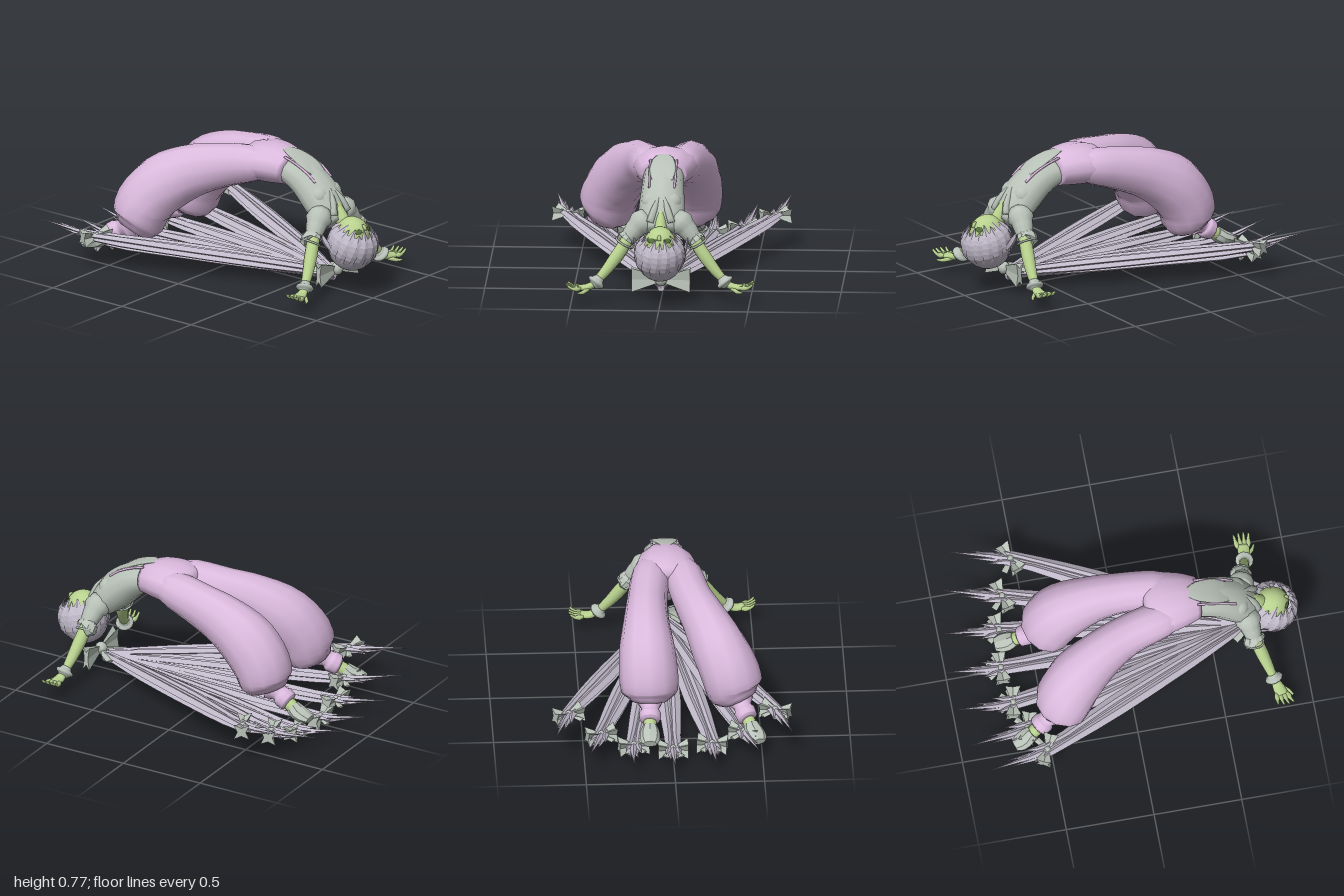
import * as THREE from 'three';

const mat = (name, color) => {
  const m = new THREE.MeshStandardMaterial({ color });
  m.name = name;
  return m;
};
const V = (x, y, z) => new THREE.Vector3(x, y, z);
const X = V(1, 0, 0), Z = V(0, 0, 1);

// Smooth body through elliptical sections [x, y, z, rSide, rUp]; "ref" is the side axis
function loft(sections, ref = X, sides = 12, steps = 4, flat = false) {
  const path = new THREE.CatmullRomCurve3(sections.map(s => V(s[0], s[1], s[2])));
  const size = new THREE.CatmullRomCurve3(sections.map(s => V(s[3], s[4] ?? s[3], 0)));
  const n = (sections.length - 1) * steps, pos = [], idx = [];
  const ring = (t, k) => {
    const c = path.getPoint(t), r = size.getPoint(t), d = path.getTangent(t);
    const side = ref.clone().addScaledVector(d, -ref.dot(d)).normalize();
    const up = d.clone().cross(side);
    for (let j = 0; j < sides; j++) {
      const a = j / sides * Math.PI * 2;
      const p = c.clone().addScaledVector(side, Math.cos(a) * Math.max(r.x, 0.001) * k)
        .addScaledVector(up, Math.sin(a) * Math.max(r.y, 0.001) * k);
      pos.push(p.x, p.y, p.z);
    }
  };
  ring(0, 0.01);
  for (let i = 0; i <= n; i++) ring(i / n, 1);
  ring(1, 0.01);
  for (let i = 0; i < n + 2; i++) for (let j = 0; j < sides; j++) {
    const a = i * sides + j, b = i * sides + (j + 1) % sides;
    idx.push(a, b, a + sides, b, b + sides, a + sides);
  }
  let g = new THREE.BufferGeometry();
  g.setAttribute('position', new THREE.Float32BufferAttribute(pos, 3));
  g.setIndex(idx);
  if (flat) g = g.toNonIndexed();
  g.computeVertexNormals();
  return g;
}

// Flared bow wing with a pleated, star-shaped section
function pleatedWing(w, h) {
  const g = new THREE.CylinderGeometry(h, h * .2, w, 8, 1).toNonIndexed();
  const p = g.attributes.position;
  for (let i = 0; i < p.count; i++) {
    const x = p.getX(i), z = p.getZ(i);
    const fold = Math.round(Math.atan2(z, x) / (Math.PI / 4));
    if (Math.hypot(x, z) > 1e-5 && fold % 2 === 0) {
      p.setX(i, x * .4);
      p.setZ(i, z * .4);
    }
  }
  g.computeVertexNormals();
  return g;
}

export function createModel() {
  const model = new THREE.Group();
  const skin = mat('skin green', 0xb8d18e), pink = mat('trouser pink', 0xdab9dd);
  const grey = mat('cloth grey', 0xb9c2b9), hair = mat('hair lilac grey', 0xbfb8c8);
  const dark = mat('eye green', 0x56703c);
  const add = (name, geo, material, parent = model) => {
    const m = new THREE.Mesh(geo, material);
    m.name = name;
    parent.add(m);
    return m;
  };

  // Arched torso and pelvis
  add('torso', loft([[0, .66, .40, .115, .08], [0, .615, .52, .118, .1], [0, .535, .62, .128, .108],
    [0, .455, .69, .13, .092], [0, .40, .74, .085, .06]]), grey);
  add('pelvis', loft([[0, .655, .43, .124, .092], [0, .667, .34, .162, .11],
    [0, .667, .24, .185, .113], [0, .655, .17, .175, .105], [0, .645, .14, .12, .06]]), pink);
  add('waistFlap', loft([[0, .77, .34, .008, .004], [0, .752, .43, .06, .006],
    [0, .712, .53, .075, .008], [0, .672, .6, .06, .004]]), grey);
  add('neck', loft([[0, .58, .69, .008, .008], [0, .505, .735, .022, .03],
    [0, .45, .765, .034, .042], [0, .38, .81, .045, .045]]), skin);

  // Legs: each bows over, bends at the knee and balloons at the shin
  const leg = (name, xs, toe) => {
    const g = new THREE.Group();
    g.name = name;
    model.add(g);
    const line = [[.665, .32, .07, .07], [.66, .2, .108, .108], [.617, 0, .114, .13], [.568, -.15, .13, .15],
      [.475, -.3, .158, .17], [.36, -.382, .166, .165], [.265, -.405, .158, .147], [.215, -.425, .1, .11]];
    add('trouserLeg', loft(line.map(([y, z, r, q], i) => [xs[i], y, z, r, q]), X, 12, 3), pink, g);
    const x = xs[7];
    const at = f => x + (toe - x) * f;
    add('trouserCuff', loft([[x, .23, -.45, .075], [at(.15), .205, -.5, .05], [at(.25), .19, -.52, .062],
      [at(.4), .17, -.555, .058], [at(.45), .165, -.565, .04]]), pink, g);
    add('ankle', loft([[at(.35), .17, -.54, .037], [at(.65), .13, -.605, .038]]), skin, g);
    add('shoe', loft([[at(.6), .145, -.585, .042], [at(.72), .12, -.62, .056, .042],
      [at(.9), .105, -.665, .056, .034], [at(1), .095, -.7, .04, .022]], X, 8, 2, true), grey, g);
  };
  leg('leftLeg', [.07, .09, .118, .128, .13, .125, .12, .12], .13);
  leg('rightLeg', [-.07, -.095, -.14, -.2, -.275, -.335, -.36, -.385], -.48);

  // Arms, hands and paired torso details
  for (const s of [1, -1]) {
    const dz = s < 0 ? .07 : 0;
    const arm = new THREE.Group();
    arm.name = s > 0 ? 'leftArm' : 'rightArm';
    model.add(arm);
    const P = (x, y, z, r, q) => [s * x, y, z + dz * Math.max(0, (x - .18) / .34), r, q ?? r];
    add('sleeve', loft([P(.07, .48, .69, .06), P(.135, .425, .705, .06), P(.19, .355, .72, .043)], Z), grey, arm);
    add('sleeveRuffle', loft([P(.17, .385, .715, .04), P(.188, .368, .715, .055, .045),
      P(.202, .35, .715, .068, .052), P(.204, .347, .72, .035)], Z, 9, 2, true), grey, arm);
    const loop = add('sleeveLoop', new THREE.TorusGeometry(.055, .006, 6, 16), grey, arm);
    loop.position.set(s * .205, .335, .715);
    loop.lookAt(s * .3, .17, .71);
    add('arm', loft([P(.17, .38, .715, .035), P(.24, .275, .735, .037), P(.3, .195, .75, .031),
      P(.37, .118, .765, .021)], Z), skin, arm);
    add('wristCuff', loft([P(.34, .15, .758, .026), P(.35, .138, .761, .034), P(.37, .113, .766, .034),
      P(.378, .105, .768, .024)], Z), grey, arm);
    add('palm', loft([P(.365, .118, .766, .02), P(.41, .1, .77, .033, .02), P(.46, .1, .775, .036, .015)], Z), skin, arm);
    for (let k = 0; k < 4; k++) {
      const z = .744 + k * .019;
      add('finger', loft([P(.445, .1, z, .01), P(.49, .102, z + (k - 1.5) * .006, .01),
        P(.53 - Math.abs(k - 1.5) * .008, .125, z + (k - 1.5) * .01, .006)], Z, 6, 2), skin, arm);
    }
    add('thumb', loft([P(.4, .095, .785, .013), P(.43, .082, .82, .011), P(.46, .08, .835, .006)], X, 6, 2), skin, arm);

    const bust = add('chest', new THREE.SphereGeometry(.06, 12, 8), grey);
    bust.position.set(s * .055, .555, .653);
    add('strap', loft([[s * .074, .742, .42, .007], [s * .074, .717, .5, .007], [s * .074, .68, .58, .007],
      [s * .07, .635, .64, .007]], X, 6), pink);
    add('collar', loft([[s * .014, .598, .695, .008], [s * .038, .53, .742, .02],
      [s * .06, .465, .765, .022]], X, 6, 3), grey);
    add('sideLock', loft([[s * .1, .24, .83, .02, .008], [s * .138, .31, .785, .024, .01],
      [s * .15, .37, .75, .014, .006], [s * .165, .41, .74, .002, .002]], Z, 4, 3, true), hair);
  }

  // Head, tipped back so that the face looks up and forward
  const face = add('face', new THREE.SphereGeometry(.1, 20, 14), skin);
  face.position.set(0, .36, .852);
  face.scale.set(.9, 1, 1);
  add('nose', loft([[0, .4, .943, .01], [0, .42, .938, .011], [0, .43, .925, .004]], X, 6, 2), skin);
  for (const s of [1, -1]) {
    const dir = V(s * .45, .38, .8).normalize();
    const eye = add('eye', new THREE.SphereGeometry(1, 12, 8), dark);
    eye.scale.set(.024, .015, .004);
    eye.position.copy(face.position).addScaledVector(dir, .099);
    eye.lookAt(eye.position.clone().add(dir));
  }
  const headHair = new THREE.Group();
  headHair.name = 'headHair';
  headHair.position.set(0, .297, .852);
  headHair.rotation.x = .3;
  model.add(headHair);
  const cap = add('hairCap', new THREE.SphereGeometry(1, 24, 14, 0, Math.PI * 2, .84, Math.PI - .84), hair, headHair);
  cap.scale.set(.137, .15, .142);
  for (let i = 0; i < 16; i++) {
    const a = i / 16 * Math.PI * 2, end = [.62, .45, .72, .52][i % 4];
    const on = (th, k, r, q) => [.137 * k * Math.sin(th) * Math.cos(a + .2 * (th - 1)), .15 * k * Math.cos(th),
      .142 * k * Math.sin(th) * Math.sin(a + .2 * (th - 1)), r, q];
    add('hairLock', loft([on(2.5, .97, .014, .005), on(1.8, 1, .032, .006), on(1.2, 1.01, .032, .008),
      on(end, 1.02, .002, .002)], V(-Math.sin(a), 0, Math.cos(a)), 4, 3, true), hair, headHair);
  }

  // Bow: two pleated wings, a knot and two tails
  const bow = (name, x, y, z, w, h, yaw, depth) => {
    const g = new THREE.Group();
    g.name = name;
    g.position.set(x, y, z);
    g.rotation.y = yaw;
    model.add(g);
    for (const s of [1, -1]) {
      const wing = add('bowWing', pleatedWing(w, h), grey, g);
      wing.rotation.z = -s * Math.PI / 2;
      wing.position.x = s * w / 2;
      wing.scale.z = depth;
      add('bowTail', loft([[0, 0, 0, .006], [s * w * .3, -h * .1, -h * .6, h * .25, .005],
        [s * w * .55, -h * .15, -h * 1.2, h * .3, .005]], X, 4, 1, true), grey, g);
    }
    add('bowKnot', new THREE.SphereGeometry(h * .38, 8, 6), grey, g);
  };
  bow('headBow', 0, .13, .74, .165, .098, 0, .3);

  // Seven long hair tails fanned over the floor, each a bundle of broad blades tied by a bow
  const tails = [[0, .05, -.69, 0, .13, -1], [.22, .06, -.66, .23, .13, -.975],
    [.4, .105, -.61, .47, .18, -.94], [.58, .195, -.53, .66, .25, -.86]];
  tails.forEach(([bx, by, bz, tx, ty, tz], i) => {
    const sag = .022 * (3 - i) / 3;
    for (const s of i ? [1, -1] : [1]) {
      const yaw = Math.atan2(bx, .72 - bz) * s;
      const cx = Math.cos(yaw), cz = Math.sin(yaw);
      for (let k = -2; k <= 2; k++) {
        const long = 1 - Math.abs(k) * .33, off = k * .015, lift = [.014, -.018, .018][Math.abs(k)];
        const along = (f, spread, drop, r, q) => [s * bx * f + off * spread * cx, .1 + (by - .1) * f + lift * drop - sag * (1 - f),
          .72 + (bz - .72) * f + off * spread * cz, r, q];
        add('hairBlade', loft([along(0, .4, .5, .014, .014), along(.3, .8, 1, .03, .017),
          along(.65, 1, 1, .034, .018), along(1, .8, .7, .021, .014),
          [s * (bx + (tx - bx) * long) + off * 1.5 * cx, by + (ty - by) * long,
            bz + (tz - bz) * long + off * 1.5 * cz, .001, .001]], X, 4, 3, true), hair);
      }
      bow('tailBow', s * bx, by + .005, bz, .085, .062, yaw, 1);
    }
  });
  return model;
}
